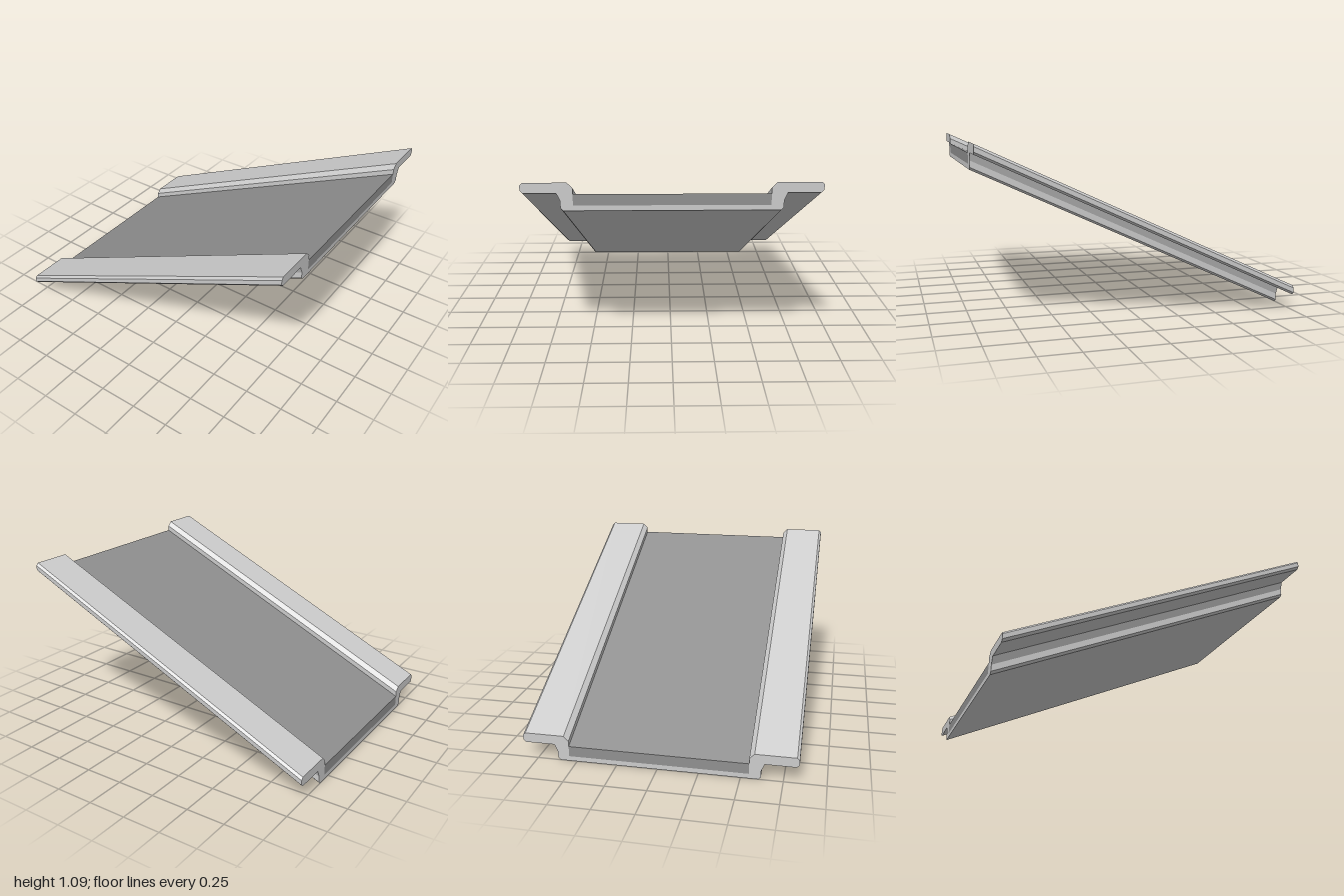
import * as THREE from 'three';

const LENGTH = 2;
const SLOPE = 0.465; // rise per unit of x

// Extrudes a half profile [z, y], mirrored across z = 0, into a sheared ramp
function ramp(name, half, color) {
  const mirrored = half.map(([z, y]) => [-z, y]).reverse();
  const shape = new THREE.Shape([...half, ...mirrored].map(([z, y]) => new THREE.Vector2(z, y)));
  const geometry = new THREE.ExtrudeGeometry(shape, { depth: LENGTH, bevelEnabled: false });
  geometry.translate(0, 0, -LENGTH / 2);
  geometry.rotateY(Math.PI / 2);
  // Vertical shear: the ends stay upright while the length climbs toward +x
  geometry.applyMatrix4(new THREE.Matrix4().set(
    1, 0, 0, 0,
    SLOPE, 1, 0, SLOPE * LENGTH / 2,
    0, 0, 1, 0,
    0, 0, 0, 1,
  ));
  const mesh = new THREE.Mesh(geometry, new THREE.MeshStandardMaterial({ color, flatShading: true }));
  mesh.name = name;
  return mesh;
}

export function createModel() {
  const group = new THREE.Group();
  group.name = 'slopedRamp';

  // Tray: thin floor, side walls and outward flanges with chamfered edges
  group.add(ramp('tray', [
    [0.605, 0], [0.62, 0.015], [0.62, 0.055], [0.64, 0.10],
    [0.825, 0.10], [0.84, 0.115], [0.84, 0.145], [0.825, 0.16],
    [0.58, 0.16], [0.55, 0.13], [0.55, 0.03],
  ], 0xcccccc));

  // Darker deck slab filling the tray between the walls
  group.add(ramp('deck', [[0.55, 0.03], [0.55, 0.095]], 0x8f8f8f));

  return group;
}
